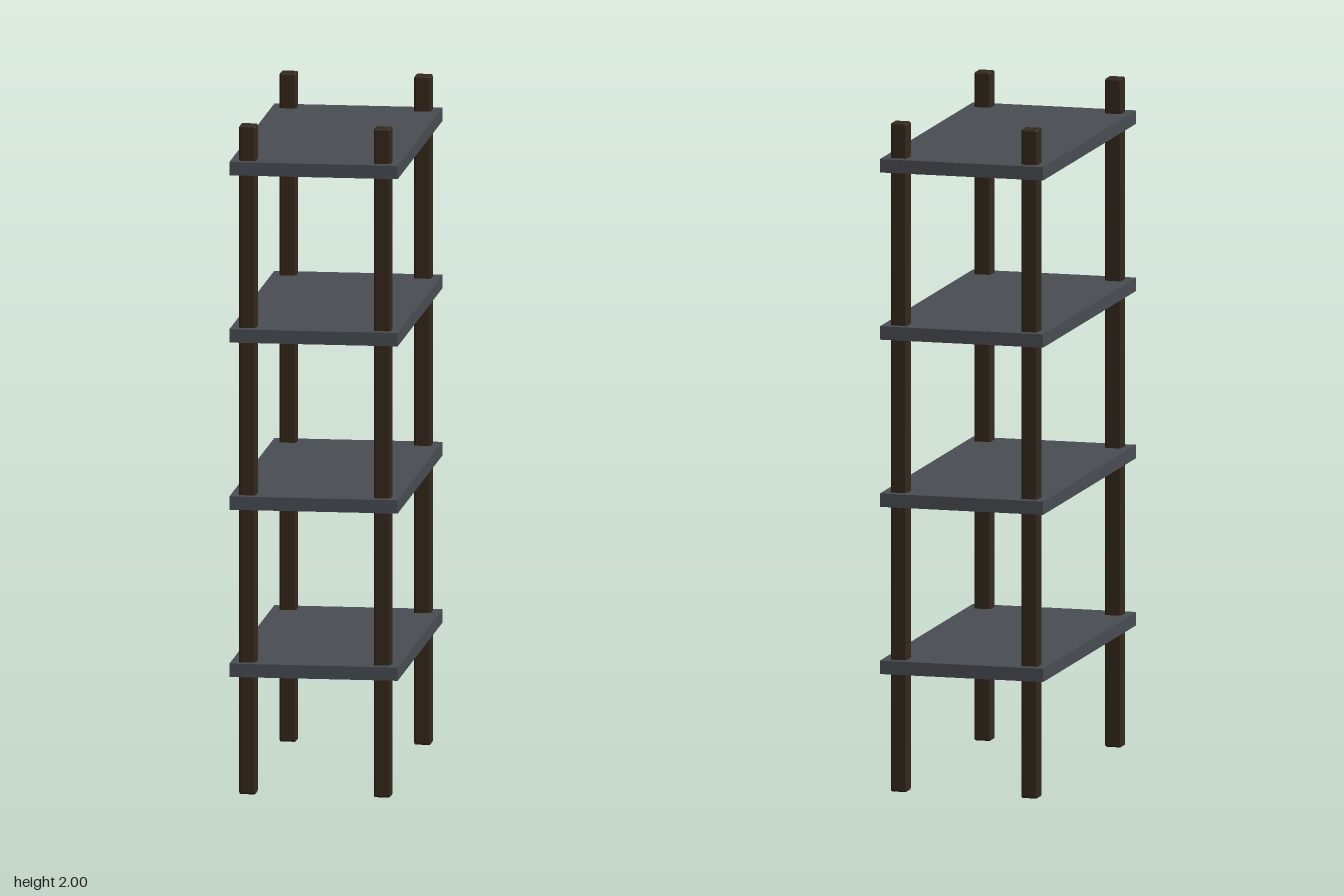
import * as THREE from 'three';
import { RoundedBoxGeometry } from 'three/addons/geometries/RoundedBoxGeometry.js';

export function createModel() {
  const model = new THREE.Group();
  model.name = 'shelvingUnit';

  const darkWood = new THREE.MeshStandardMaterial({ color: 0x35291d });
  darkWood.name = 'dark wood';
  const slateGrey = new THREE.MeshStandardMaterial({ color: 0x4a4e54 });
  slateGrey.name = 'slate grey';

  const add = (geometry, material, name, x, y, z) => {
    const mesh = new THREE.Mesh(geometry, material);
    mesh.name = name;
    mesh.position.set(x, y, z);
    model.add(mesh);
  };

  // Four square corner posts with softened edges
  const postGeometry = new RoundedBoxGeometry(0.05, 2, 0.05, 2, 0.006);
  for (const [side, x] of [['Left', 0.2], ['Right', -0.2]]) {
    for (const [end, z] of [['front', 0.45], ['back', -0.45]]) {
      add(postGeometry, darkWood, `${end}${side}Post`, x, 1, z);
    }
  }

  // Four evenly spaced shelf boards
  const shelfGeometry = new THREE.BoxGeometry(0.5, 0.04, 1);
  for (let i = 0; i < 4; i++) {
    add(shelfGeometry, slateGrey, `shelf${i + 1}`, 0, 0.375 + i * 0.5, 0);
  }

  return model;
}
